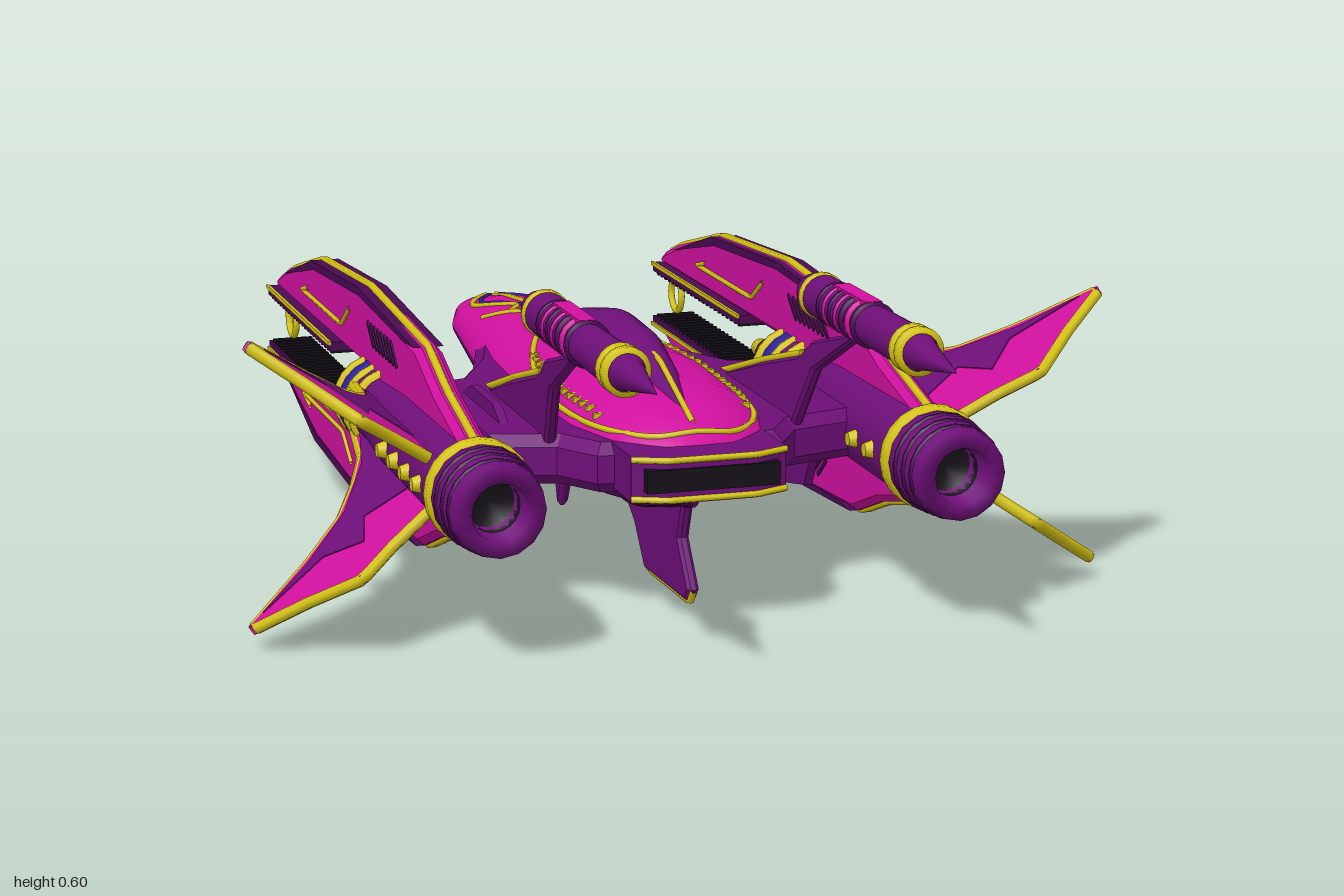
import * as THREE from 'three';

const mat = (color) => new THREE.MeshStandardMaterial({ color, side: THREE.DoubleSide });
const magenta = mat(0xd0109f), purple = mat(0x6e0f78), dark = mat(0x4a0a52);
const yellow = mat(0xd6c414), blue = mat(0x2c1f9c), black = mat(0x141018);

function add(parent, name, geo, material, x = 0, y = 0, z = 0) {
  const mesh = new THREE.Mesh(geo, material);
  mesh.name = name;
  mesh.position.set(x, y, z);
  parent.add(mesh);
  return mesh;
}
const box = (w, h, d) => new THREE.BoxGeometry(w, h, d);

// Turned part along z from [radius, z] pairs
function turned(points, sides = 20) {
  const out = [];
  points.forEach((p) => out.push(new THREE.Vector2(p[0], p[1])));
  return new THREE.LatheGeometry(out, sides).rotateX(Math.PI / 2);
}
const ring = (r, z, t = 0.01) => turned([[r - 0.01, z - t], [r, z - t * 0.7], [r, z + t * 0.7], [r - 0.01, z + t]]);

// Flat plate standing in the z-y plane, from [z, y] pairs, thin in x
function plate(points, thick, bevel = 0) {
  const shape = new THREE.Shape(points.map((p) => new THREE.Vector2(p[0], p[1])));
  const depth = thick - 2 * bevel;
  const geo = new THREE.ExtrudeGeometry(shape, {
    depth, bevelEnabled: bevel > 0, bevelThickness: bevel, bevelSize: bevel, bevelOffset: -bevel, bevelSegments: 1,
  });
  return geo.translate(0, 0, -depth / 2).rotateY(-Math.PI / 2);
}

// Thin raised line through 3D points
function line(points, r = 0.006, smooth = false) {
  const v = points.map((p) => new THREE.Vector3(...p));
  let path;
  if (smooth) path = new THREE.CatmullRomCurve3(v);
  else {
    path = new THREE.CurvePath();
    for (let i = 1; i < v.length; i++) path.add(new THREE.LineCurve3(v[i - 1], v[i]));
  }
  return new THREE.TubeGeometry(path, points.length * 6, r, 6);
}

// Skin over elliptic sections [z, halfWidth, centreY, height], between two angles
function loft(stations, a0, a1, n = 20) {
  const pos = [], idx = [];
  stations.forEach(([z, w, y, h]) => {
    for (let j = 0; j <= n; j++) {
      const t = a0 + ((a1 - a0) * j) / n;
      pos.push(w * Math.cos(t), y + h * Math.sin(t), z);
    }
  });
  for (let i = 0; i < stations.length - 1; i++) {
    for (let j = 0; j < n; j++) {
      const a = i * (n + 1) + j, b = a + n + 1;
      idx.push(a, a + 1, b, a + 1, b + 1, b);
    }
  }
  const geo = new THREE.BufferGeometry();
  geo.setAttribute('position', new THREE.Float32BufferAttribute(pos, 3));
  geo.setIndex(idx);
  geo.computeVertexNormals();
  return geo;
}

const HULL = [
  [-0.985, 0.004, 0.28, 0.01], [-0.975, 0.035, 0.28, 0.025], [-0.95, 0.07, 0.28, 0.035], [-0.82, 0.11, 0.285, 0.055],
  [-0.52, 0.152, 0.29, 0.085], [-0.3, 0.18, 0.29, 0.105], [0, 0.195, 0.29, 0.115],
  [0.25, 0.185, 0.29, 0.11], [0.38, 0.155, 0.29, 0.08], [0.45, 0.1, 0.29, 0.05], [0.46, 0.002, 0.29, 0.02],
];
// Point on the hull skin at a given x and z (side +1 above, -1 below)
function onHull(x, z, side = 1) {
  let i = 1;
  while (i < HULL.length - 1 && HULL[i][0] < z) i++;
  const a = HULL[i - 1], b = HULL[i], t = (z - a[0]) / (b[0] - a[0]);
  const [w, y, h] = [1, 2, 3].map((k) => a[k] + (b[k] - a[k]) * t);
  return [x, y + side * h * Math.sqrt(Math.max(0, 1 - (x / w) ** 2)), z];
}

function buildFuselage(group) {
  add(group, 'upperHull', loft(HULL, 0, Math.PI), magenta);
  add(group, 'lowerHull', loft(HULL, Math.PI, 2 * Math.PI), purple);
  add(group, 'canopy', loft([
    [-0.38, 0.005, 0.385, 0.002], [-0.25, 0.055, 0.36, 0.07], [-0.1, 0.088, 0.36, 0.1], [0.05, 0.075, 0.36, 0.1],
    [0.2, 0.048, 0.36, 0.075], [0.4, 0.005, 0.35, 0.01]], 0, Math.PI), purple);
  add(group, 'canopySpine', line([[0, 0.44, 0.08], [0, 0.43, 0.22], [0, 0.36, 0.41]], 0.006), yellow);
  add(group, 'noseLine', line([-0.96, -0.8, -0.65, -0.5, -0.39].map((z) => onHull(0, z)), 0.006), yellow);
  add(group, 'bellySkin', loft([[-0.3, 0.01, 0.2, 0.01], [-0.1, 0.07, 0.19, 0.035], [0.2, 0.07, 0.19, 0.035],
    [0.42, 0.01, 0.23, 0.02]], Math.PI, 2 * Math.PI), dark);

  // Oval trim round the canopy, above and below, with studs
  for (const side of [1, -1]) {
    const oval = [[0.02, -0.4], [0.08, -0.28], [0.13, -0.15], [0.165, 0.02], [0.165, 0.2], [0.135, 0.34], [0.07, 0.42], [0, 0.43]];
    const half = oval.map(([x, z]) => onHull(x, z, side));
    const other = half.slice(0, -1).reverse().map(([x, y, z]) => [-x, y, z]);
    add(group, 'hullTrim', line([...half, ...other], 0.006, true), yellow);
    for (let i = 0; i < 14; i++) for (const s of [1, -1]) {
      const z = -0.14 + i * 0.033;
      add(group, 'hullStud', box(0.016, 0.01, 0.01), yellow, ...onHull(s * (0.147 - 0.3 * (z - 0.1) ** 2), z, side));
    }
  }
  for (const s of [1, -1]) {
    const stripe = (pts, r, m) => add(group, 'noseStripe', line(pts.map(([x, z]) => onHull(s * x, z)), r, true), m);
    stripe([[0.01, -0.93], [0.05, -0.86], [0.075, -0.78], [0.05, -0.68], [0.03, -0.62], [0.06, -0.55], [0.02, -0.46]], 0.006, yellow);
    stripe([[0.01, -0.9], [0.04, -0.84], [0.06, -0.77], [0.04, -0.69], [0.02, -0.6]], 0.005, blue);
    stripe([[0.1, -0.62], [0.07, -0.56], [0.03, -0.5]], 0.006, yellow);
    stripe([[0.0, -0.4], [0.04, -0.34], [0.06, -0.25], [0.085, -0.17]], 0.007, yellow);
  }

  // Wing root carrying the pods
  const plan = [[0, -0.55], [0.14, -0.52], [0.2, -0.32], [0.27, -0.18], [0.36, -0.15], [0.36, 0.28], [0.22, 0.32], [0.17, 0.4], [0, 0.42]];
  const wing = plate([...plan.map(([x, z]) => [z, x]), ...plan.slice(1, -1).reverse().map(([x, z]) => [z, -x])], 0.09, 0.02);
  add(group, 'wingRoot', wing.rotateZ(-Math.PI / 2), purple, 0, 0.285, 0);

  // Flat tail exhaust
  const tail = new THREE.Shape([[-0.14, -0.38], [0.14, -0.38], [0.14, -0.5], [0.08, -0.525], [-0.08, -0.525], [-0.14, -0.5]].map((p) => new THREE.Vector2(...p)));
  add(group, 'tailExhaust', new THREE.ExtrudeGeometry(tail, { depth: 0.08, bevelEnabled: false }).rotateX(-Math.PI / 2), purple, 0, 0.25, 0);
  for (const y of [0.255, 0.325]) {
    add(group, 'exhaustTrim', line([[-0.14, y, 0.5], [-0.08, y, 0.526], [0.08, y, 0.526], [0.14, y, 0.5]], 0.006), yellow);
  }
  add(group, 'exhaustSlot', box(0.24, 0.04, 0.02), black, 0, 0.29, 0.52);

  // Keel fin and forward spike
  add(group, 'keelFin', plate([[-0.05, 0.2], [0.1, 0.1], [0.16, 0.03], [0.4, 0.035], [0.42, 0.06], [0.36, 0.14], [0.4, 0.25]], 0.022, 0.006), purple);
  add(group, 'keelEdge', line([[0, 0.1, 0.1], [0, 0.03, 0.16], [0, 0.035, 0.4], [0, 0.06, 0.42]], 0.007), yellow);
  add(group, 'chinSpike', plate([[-0.5, 0.22], [-0.44, 0.1], [-0.405, 0.005], [-0.35, 0.1], [-0.28, 0.2]], 0.022, 0.007), purple);
}

function buildPod() {
  const pod = new THREE.Group();
  pod.name = 'enginePod';
  pod.position.set(0.41, 0.29, 0);
  add(pod, 'podBody', turned([[0.03, -0.27], [0.05, -0.25], [0.076, -0.2], [0.078, -0.12], [0.07, -0.08], [0.082, 0.1], [0.085, 0.48]], 16), purple);
  add(pod, 'nozzle', turned([[0.085, 0.51], [0.09, 0.53], [0.08, 0.64], [0.05, 0.645], [0.045, 0.56], [0.001, 0.56]], 16), purple);
  add(pod, 'nozzleCore', turned([[0.046, 0.6], [0.046, 0.565], [0, 0.565]]), black);
  for (let i = 0; i < 3; i++) add(pod, 'nozzleBand', ring(0.0905 - i * 0.003, 0.55 + i * 0.03, 0.006), dark);
  add(pod, 'rearRing', ring(0.094, 0.5, 0.014), yellow);
  for (const z of [-0.22, -0.15, -0.1]) add(pod, 'collarRing', ring(0.084, z, 0.01), yellow);
  add(pod, 'collarBand', ring(0.082, -0.185, 0.018), blue);

  // Round ports on both flanks
  for (let i = 0; i < 4; i++) for (const s of [1, -1]) {
    const port = add(pod, 'sidePort', new THREE.CylinderGeometry(0.012, 0.018, 0.02, 12), yellow, s * 0.087, 0, 0.17 + i * 0.083);
    port.rotation.z = -s * Math.PI / 2;
  }

  // Emitter between the blades
  add(pod, 'emitter', turned([[0, -0.42], [0.018, -0.42], [0.02, -0.37], [0.032, -0.36], [0.032, -0.33], [0.018, -0.32], [0.022, -0.29], [0.04, -0.26]], 14), yellow);
  add(pod, 'emitterBand', ring(0.035, -0.345, 0.01), dark);
  add(pod, 'tipRing', new THREE.TorusGeometry(0.035, 0.007, 8, 20).rotateY(Math.PI / 2), yellow, 0, 0, -0.955);

  const top = [[-0.995, 0.06], [-0.985, 0.085], [-0.9, 0.115], [-0.65, 0.18], [-0.25, 0.205], [0.17, 0.18], [0.3, 0.13], [0.5, 0.08]];
  const fin = [[-0.17, 0.07], [0, 0.1], [0.1, 0.145], [0.2, 0.205], [0.28, 0.3], [0.37, 0.445], [0.43, 0.34], [0.5, 0.245], [0.46, 0.17], [0.43, 0.08]];
  for (const m of [1, -1]) {
    const half = new THREE.Group();
    half.name = m > 0 ? 'upperPodHalf' : 'lowerPodHalf';
    half.scale.y = m;
    pod.add(half);

    // Long blade with edging, rails and teeth
    add(half, 'blade', plate([...top, [0.5, 0.04], [-0.2, 0.04], [-0.24, 0.06]], 0.05, 0.012), magenta);
    add(half, 'bladeEdge', line(top.map(([z, y]) => [0, y, z]), 0.008), yellow);
    add(half, 'bladeSpine', plate([[-0.9, 0.105], ...top.slice(3, 6), [0.1, 0.175], [-0.25, 0.19], [-0.63, 0.165]], 0.055), dark);
    add(half, 'rail', box(0.088, 0.018, 0.56), dark, 0, 0.057, -0.7);
    for (const s of [1, -1]) {
      add(half, 'railLine', box(0.006, 0.008, 0.56), yellow, s * 0.045, 0.064, -0.7);
      add(half, 'bladeMark', line([[s * 0.026, 0.15, -0.33], [s * 0.026, 0.105, -0.4], [s * 0.026, 0.105, -0.74], [s * 0.026, 0.12, -0.68]], 0.005), yellow);
      for (let i = 0; i < 8; i++) {
        const slit = add(half, 'bladeVent', box(0.004, 0.008, 0.06), dark, s * 0.026, 0.135, -0.16 + i * 0.025);
        slit.rotation.x = 0.7;
      }
    }
    for (let i = 0; i < 22; i++) add(half, 'railTooth', box(0.08, 0.008, 0.01), black, 0, 0.046, -0.96 + i * 0.025);

    // Swept diagonal fin
    const finGroup = new THREE.Group();
    finGroup.name = 'sweptFin';
    finGroup.rotation.z = -0.975;
    half.add(finGroup);
    add(finGroup, 'finPanel', plate(fin, 0.018), magenta);
    add(finGroup, 'finInlay', plate([[-0.1, 0.07], [0.05, 0.11], [0.2, 0.19], [0.3, 0.3], [0.36, 0.41], [0.32, 0.27], [0.38, 0.2], [0.28, 0.17], [0.3, 0.08]], 0.022), purple);
    add(finGroup, 'finEdge', line(fin.map(([z, y]) => [0, y, z]), 0.011), yellow);
  }
  return pod;
}

function buildTailGun() {
  const gun = new THREE.Group();
  gun.name = 'tailGun';
  const barrel = new THREE.Group();
  barrel.name = 'barrel';
  barrel.position.set(0.252, 0.56, 0);
  gun.add(barrel);
  add(barrel, 'barrelBody', turned([[0, 0.28], [0.014, 0.285], [0.02, 0.31], [0.032, 0.32], [0.039, 0.35], [0.039, 0.55], [0.035, 0.57], [0.037, 0.82], [0.03, 0.84], [0, 1]]), purple);
  add(barrel, 'barrelCap', turned([[0, 0.28], [0.015, 0.282], [0.022, 0.31], [0.03, 0.318]]), magenta);
  for (const z of [0.365, 0.805, 0.83]) add(barrel, 'barrelRing', ring(0.042, z, 0.01), yellow);
  for (let i = 0; i < 7; i++) add(barrel, 'barrelRib', ring(0.041, 0.45 + i * 0.028, 0.007), i % 2 ? magenta : dark);
  add(barrel, 'barrelPanel', box(0.03, 0.012, 0.16), magenta, 0, 0.035, 0.54);

  // Swept pylon leaning outward
  const pylon = add(gun, 'pylon', plate([[-0.16, 0], [0.12, 0.09], [0.3, 0.14], [0.36, 0.18], [0.56, 0.235], [0.57, 0.23], [0.38, 0.13], [0.3, 0]], 0.022, 0.006), purple, 0.226, 0.3, 0);
  pylon.rotation.z = -0.1;
  const edge = add(gun, 'pylonEdge', line([[0, 0.008, -0.16], [0, 0.095, 0.12], [0, 0.145, 0.3]], 0.007), yellow, 0.226, 0.3, 0);
  edge.rotation.z = -0.1;

  // Small upright strake on the wing root
  add(gun, 'wingStrake', plate([[-0.14, 0.29], [0, 0.355], [0.15, 0.355], [0.28, 0.29], [0.22, 0.18], [0.12, 0.16]], 0.016), purple, 0.282, 0, 0);
  return gun;
}

export function createModel() {
  const model = new THREE.Group();
  model.name = 'starship';
  const fuselage = new THREE.Group();
  fuselage.name = 'fuselage';
  model.add(fuselage);
  buildFuselage(fuselage);
  for (const s of [1, -1]) {
    const side = new THREE.Group();
    side.name = s > 0 ? 'leftSide' : 'rightSide';
    side.scale.x = s;
    side.add(buildPod(), buildTailGun());
    model.add(side);
  }
  return model;
}
